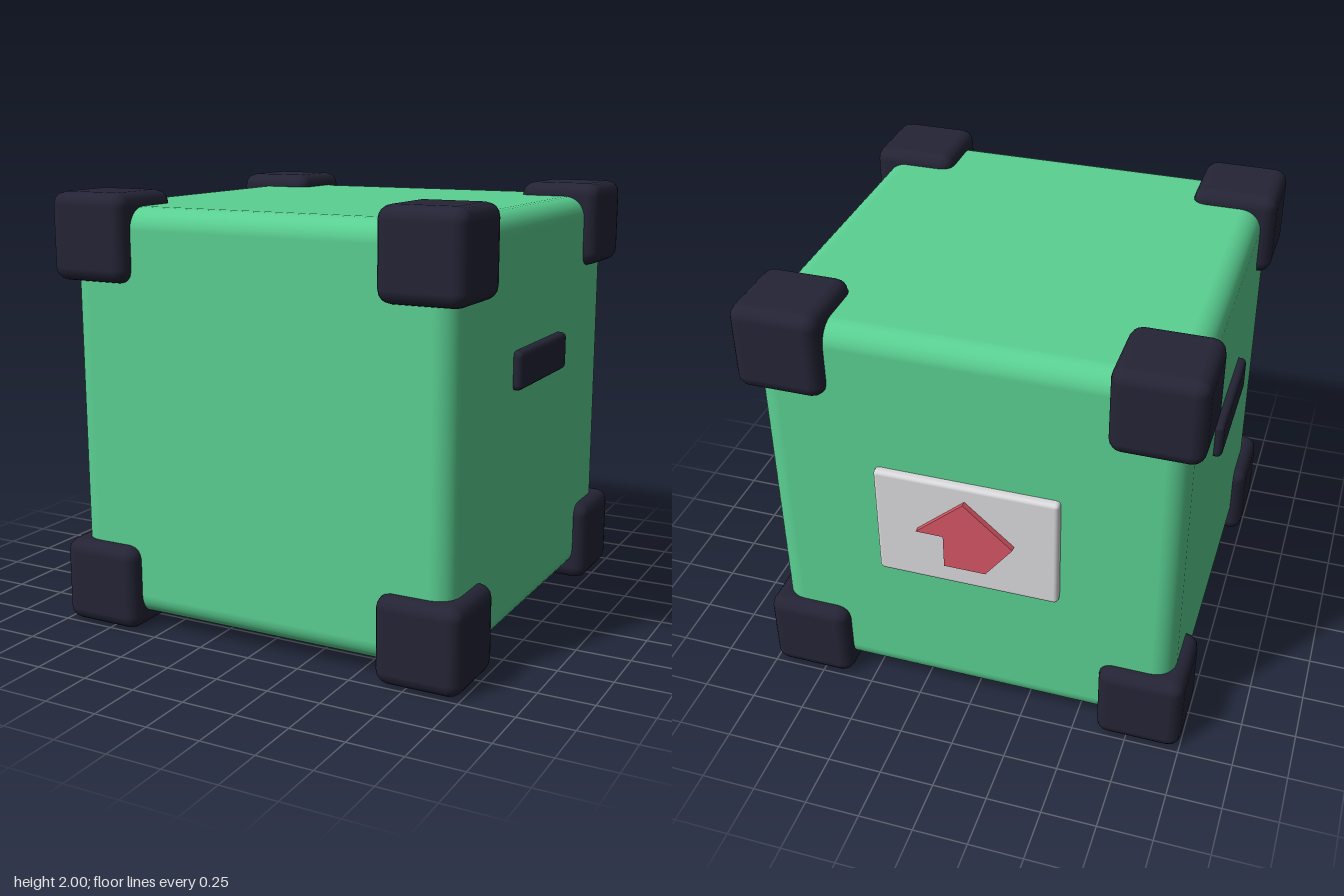
import * as THREE from 'three';
import { RoundedBoxGeometry } from 'three/addons/geometries/RoundedBoxGeometry.js';

function material(name, color) {
  const m = new THREE.MeshStandardMaterial({ color });
  m.name = name;
  return m;
}

export function createModel() {
  const green = material('green shell', 0x5ad092);
  const dark = material('dark rubber', 0x242436);
  const grey = material('light grey plate', 0xdadadc);
  const red = material('red arrow', 0xd55564);
  const model = new THREE.Group();
  model.name = 'crate';

  function roundedBox(name, mat, size, position, radius, segments = 2) {
    const mesh = new THREE.Mesh(new RoundedBoxGeometry(...size, segments, radius), mat);
    mesh.name = name;
    mesh.position.set(...position);
    model.add(mesh);
    return mesh;
  }

  // Main cube with softly rounded edges
  roundedBox('body', green, [1.876, 1.876, 1.876], [0, 1, 0], 0.1, 4);

  // Protective blocks on all eight corners
  for (const x of [-1, 1])
    for (const y of [-1, 1])
      for (const z of [-1, 1])
        roundedBox('cornerBlock', dark, [0.395, 0.395, 0.395],
          [x * 0.8025, 1 + y * 0.8025, z * 0.8025], 0.06);

  // Side grips
  for (const x of [-1, 1])
    roundedBox(x > 0 ? 'leftHandle' : 'rightHandle', dark,
      [0.09, 0.175, 0.6], [x * 0.931, 1.245, 0], 0.025);

  // Label plate on the back
  roundedBox('backPlate', grey, [0.83, 0.55, 0.06], [0, 1.003, -0.944], 0.02);

  // Raised arrow pointing up, notched on one side only
  const arrow = new THREE.Shape([
    [0, 0.18], [-0.22, -0.015], [-0.095, -0.015],
    [-0.095, -0.18], [0.095, -0.18], [0.22, -0.015],
  ].map(([x, y]) => new THREE.Vector2(x, y)));
  const arrowMesh = new THREE.Mesh(
    new THREE.ExtrudeGeometry(arrow, { depth: 0.035, bevelEnabled: false }), red);
  arrowMesh.name = 'arrow';
  arrowMesh.rotation.y = Math.PI;
  arrowMesh.position.set(0, 1.025, -0.965);
  model.add(arrowMesh);

  return model;
}
